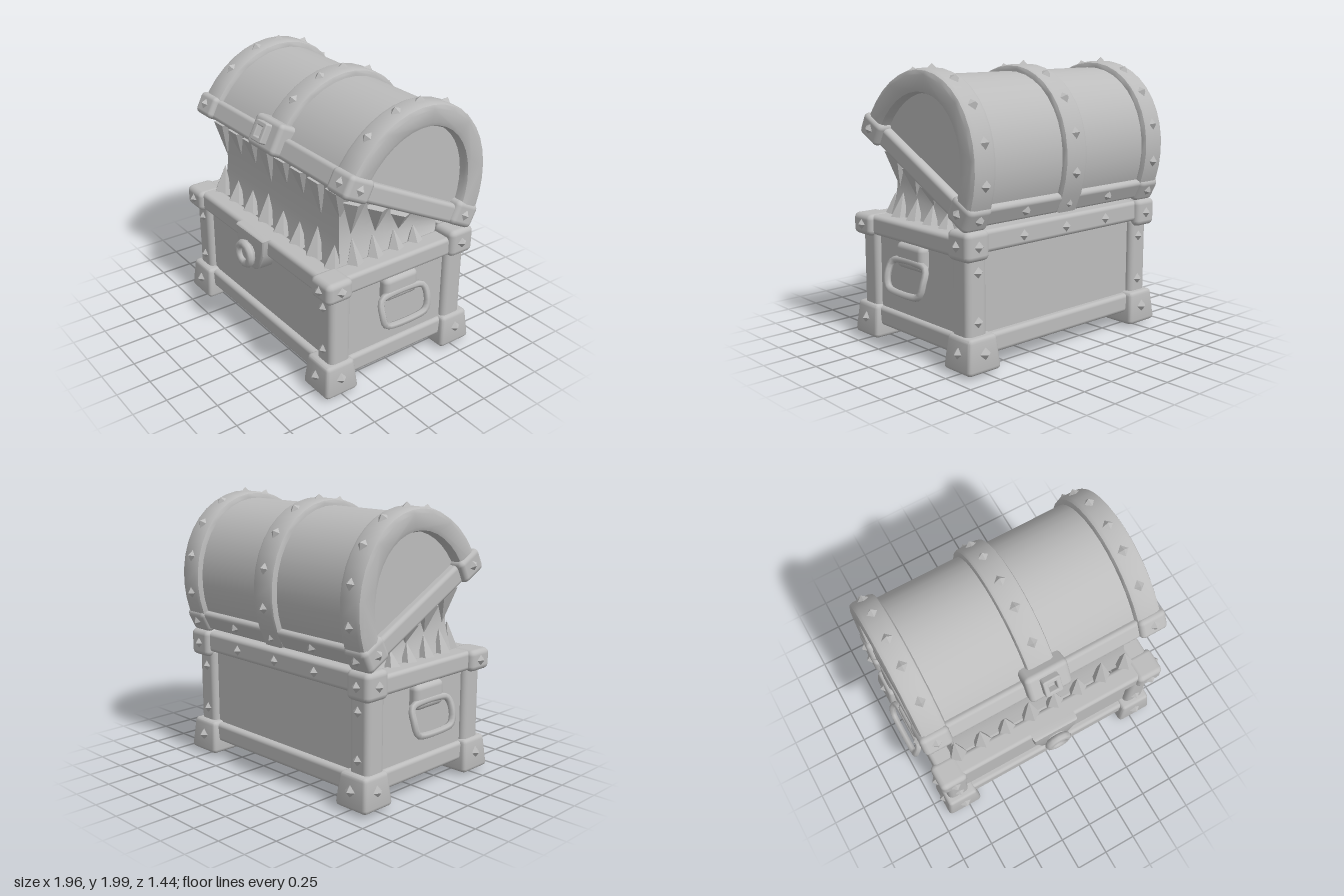
import * as THREE from 'three';
import { toCreasedNormals } from 'three/addons/utils/BufferGeometryUtils.js';
import { RoundedBoxGeometry } from 'three/addons/geometries/RoundedBoxGeometry.js';

const grey = new THREE.MeshStandardMaterial({ color: 0xbcbcbc, side: THREE.DoubleSide });
grey.name = 'stone grey';

function add(parent, name, geo, x = 0, y = 0, z = 0) {
  const m = new THREE.Mesh(geo, grey);
  m.name = name;
  m.position.set(x, y, z);
  parent.add(m);
  return m;
}

// Rounded block given by its min and max on each axis
function block(parent, name, x0, x1, y0, y1, z0, z1, r = 0.03) {
  return add(parent, name, new RoundedBoxGeometry(x1 - x0, y1 - y0, z1 - z0, 2, r),
    (x0 + x1) / 2, (y0 + y1) / 2, (z0 + z1) / 2);
}

// Four-sided spike pointing along dir; used for rivets and teeth
function spike(parent, name, pos, dir, r, h, sides = 4) {
  const geo = new THREE.ConeGeometry(r, h, sides).translate(0, h / 2, 0);
  const m = add(parent, name, toCreasedNormals(geo, 0.4), ...pos);
  m.quaternion.setFromUnitVectors(new THREE.Vector3(0, 1, 0), new THREE.Vector3(...dir).normalize());
  return m;
}
const rivet = (parent, pos, dir) => spike(parent, 'rivet', pos, dir, 0.045, 0.035);

// Lid cross-section: u runs from hinge to lip, v is up
const CU = 0.6, RU = 0.61, RV = 0.71;
const arcPoint = (a, inset) => new THREE.Vector2(CU + (RU - inset) * Math.cos(a), (RV - inset) * Math.sin(a));
function arch(width, outer, inner, bevel) {
  const pts = [], N = 20;
  for (let i = 0; i <= N; i++) pts.push(arcPoint(Math.PI * i / N, outer + bevel));
  if (inner) for (let i = N; i >= 0; i--) pts.push(arcPoint(Math.PI * i / N, inner - bevel));
  const geo = new THREE.ExtrudeGeometry(new THREE.Shape(pts), {
    depth: width - 2 * bevel, bevelEnabled: bevel > 0, bevelSize: bevel, bevelThickness: bevel, bevelSegments: 2,
  });
  geo.translate(0, 0, -(width - 2 * bevel) / 2).rotateY(-Math.PI / 2);
  return toCreasedNormals(geo, 0.7);
}

function buildBase() {
  const base = new THREE.Group();
  base.name = 'base';
  // Walls
  block(base, 'frontWall', -0.82, 0.82, 0.12, 0.88, 0.46, 0.54, 0.01);
  block(base, 'backWall', -0.82, 0.82, 0.12, 0.95, -0.54, -0.46, 0.01);
  for (const s of [-1, 1]) {
    const wall = block(base, 'sideWall', -0.04, 0.04, 0.12, 0.88, -0.5, 0.5, 0.01);
    wall.position.x = s * 0.8;
  }
  // Floor with an oval opening
  const floor = new THREE.Shape();
  floor.moveTo(-0.8, -0.5).lineTo(0.8, -0.5).lineTo(0.8, 0.5).lineTo(-0.8, 0.5);
  const hole = new THREE.Path();
  hole.absellipse(0, 0.06, 0.4, 0.28, 0, Math.PI * 2);
  floor.holes.push(hole);
  add(base, 'floor', new THREE.ExtrudeGeometry(floor, { depth: 0.03, bevelEnabled: false, curveSegments: 12 })
    .rotateX(-Math.PI / 2), 0, 0.13, 0);
  // Throat bulging through the floor
  const throat = [[0.47, 0.14], [0.43, 0.04], [0.38, 0], [0.35, 0.01], [0.31, 0.12], [0.24, 0.28], [0, 0.33]]
    .map(p => new THREE.Vector2(...p));
  add(base, 'throat', new THREE.LatheGeometry(throat, 20).scale(1, 1, 0.74), 0, 0, -0.06);
  for (let i = 0; i < 18; i++) {
    const a = i / 18 * Math.PI * 2;
    const lump = add(base, 'throatLump', new THREE.IcosahedronGeometry(0.065, 1), 0.54 * Math.cos(a), 0.1, -0.06 + 0.37 * Math.sin(a));
    lump.scale.set(1.2, 0.7, 0.8 + 0.3 * (i % 3));
  }
  // Bottom trim, top rim
  for (const s of [-1, 1]) {
    block(base, 'bottomTrim', -0.8, 0.8, 0.11, 0.25, s * 0.53 - 0.06, s * 0.53 + 0.06);
    const side = block(base, 'bottomTrim', -0.06, 0.06, 0.11, 0.25, -0.5, 0.5);
    side.position.x = s * 0.81;
    const rim = block(base, 'sideRim', -0.08, 0.08, 0.77, 0.91, -0.5, 0.58);
    rim.position.x = s * 0.81;
  }
  block(base, 'frontRim', -0.86, 0.86, 0.77, 0.91, 0.46, 0.61);
  block(base, 'backRim', -0.86, 0.86, 0.8, 0.95, -0.6, -0.46);
  // Corners: foot, post, rim cap and hinge cap
  for (const s of [-1, 1]) {
    for (const f of [1, -1]) {
      const geo = new RoundedBoxGeometry(0.28, 0.24, 0.27, 2, 0.03);
      const p = geo.attributes.position;
      for (let i = 0; i < p.count; i++) {
        const k = p.getY(i) > 0 ? 0.86 : 1;
        p.setXYZ(i, p.getX(i) * k, p.getY(i), p.getZ(i) * k);
      }
      geo.computeVertexNormals();
      add(base, 'foot', toCreasedNormals(geo, 0.7), s * 0.785, 0.14, f * 0.515);
      block(base, 'post', s * 0.795 - 0.085, s * 0.795 + 0.085, 0.2, 0.82, f * 0.5 - 0.085, f * 0.5 + 0.085, 0.04);
      rivet(base, [s * 0.91, 0.15, f * 0.52], [s, 0, 0]);
      rivet(base, [s * 0.78, 0.15, f * 0.64], [0, 0, f]);
      rivet(base, [s * 0.79, 0.35, f * 0.58], [0, 0, f]);
      rivet(base, [s * 0.79, 0.68, f * 0.58], [0, 0, f]);
    }
    block(base, 'rimCap', s * 0.82 - 0.105, s * 0.82 + 0.105, 0.76, 0.915, 0.43, 0.64, 0.04);
    block(base, 'hingeCap', s * 0.82 - 0.1, s * 0.82 + 0.1, 0.76, 0.96, -0.63, -0.42, 0.04);
    rivet(base, [s * 0.92, 0.84, 0.53], [s, 0, 0]);
    rivet(base, [s * 0.915, 0.86, -0.52], [s, 0, 0]);
    rivet(base, [s * 0.82, 0.84, 0.635], [0, 0, 1]);
    rivet(base, [s * 0.82, 0.86, -0.625], [0, 0, -1]);
  }
  for (const x of [-0.4, 0, 0.4]) rivet(base, [x, 0.87, -0.595], [0, 0, -1]);
  // Lock
  const plate = new THREE.Shape();
  plate.moveTo(-0.17, 0.13).lineTo(0.17, 0.13).lineTo(0.16, 0.02).lineTo(0.1, -0.1)
    .lineTo(0.05, -0.13).lineTo(-0.05, -0.13).lineTo(-0.1, -0.1).lineTo(-0.16, 0.02);
  add(base, 'lockPlate', toCreasedNormals(new THREE.ExtrudeGeometry(plate,
    { depth: 0.11, bevelSize: 0.01, bevelThickness: 0.02, bevelSegments: 2 }), 0.7), 0, 0.77, 0.52);
  add(base, 'lockRing', new THREE.TorusGeometry(0.075, 0.032, 8, 12), 0, 0.755, 0.69);
  add(base, 'lockBarrel', new THREE.CylinderGeometry(0.06, 0.08, 0.06, 10).rotateX(Math.PI / 2), 0, 0.755, 0.66);
  // Side handles
  const loop = [[0.16, 0.65, 0.9], [0.2, 0.55, 0.94], [0.15, 0.45, 0.955], [-0.15, 0.45, 0.955], [-0.2, 0.55, 0.94], [-0.16, 0.65, 0.9]];
  for (const s of [-1, 1]) {
    const path = new THREE.CatmullRomCurve3(loop.map(([z, y, x]) => new THREE.Vector3(s * x, y, z)), true, 'catmullrom', 0.4);
    add(base, 'handle', new THREE.TubeGeometry(path, 36, 0.025, 6, true));
    block(base, 'handleMount', s * 0.86 - 0.05, s * 0.86 + 0.05, 0.6, 0.78, -0.14, 0.15, 0.04);
  }
  return base;
}

function buildMouth() {
  const mouth = new THREE.Group();
  mouth.name = 'mouth';
  // Gum wall pinched between the jaws, its top following the open lid
  const geo = new THREE.BoxGeometry(2, 1, 2, 8, 8, 8);
  const p = geo.attributes.position;
  for (let i = 0; i < p.count; i++) {
    const t = p.getY(i) + 0.5, pinch = 1 - 0.09 * Math.sin(Math.PI * t);
    const z = p.getZ(i) > 0 ? p.getZ(i) * 0.43 * pinch : p.getZ(i) * 0.46;
    const top = 1.08 + 0.5 * (z + 0.5);
    p.setXYZ(i, p.getX(i) * 0.77 * pinch, 0.82 + t * (top - 0.82), z);
  }
  geo.computeVertexNormals();
  add(mouth, 'gums', toCreasedNormals(geo, 0.9));
  // Front rows
  for (let i = 0; i < 8; i++) {
    const x = -0.7 + i * 0.2, big = i % 3 === 0 ? 1.1 : 0.85;
    spike(mouth, 'upperTooth', [x, 1.45, 0.38], [0, -1, 0.03], 0.1, 0.25 * big, 5);
    spike(mouth, 'lowerTooth', [x, 0.88, 0.45], [0, 1, -0.15], 0.075, 0.21 * big, 5);
  }
  // Side rows
  for (const s of [-1, 1]) {
    for (const z of [0.32, 0.12, -0.08]) {
      spike(mouth, 'upperTooth', [s * 0.76, 1.42 + 0.5 * (z - 0.4), z], [-s * 0.1, -1, 0], 0.085, 0.14 + 0.3 * (z + 0.1), 5);
    }
    for (const z of [0.3, 0.13, -0.05, -0.22]) {
      spike(mouth, 'lowerTooth', [s * 0.76, 0.88, z], [-s * 0.2, 1, 0], 0.07, 0.14 + 0.12 * (z + 0.22), 5);
    }
  }
  return mouth;
}

function buildLid() {
  const lid = new THREE.Group();
  lid.name = 'lid';
  lid.position.set(0, 1, -0.6);
  lid.rotation.x = -27 * Math.PI / 180;
  // Barrel and arched bands
  add(lid, 'barrel', arch(1.66, 0.045, 0, 0));
  add(lid, 'centreBand', arch(0.2, 0, 0.16, 0.025));
  for (const s of [-1, 1]) add(lid, 'endBand', arch(0.19, 0, 0.16, 0.035), s * 0.815);
  for (const x of [-0.81, 0, 0.81]) {
    for (const deg of [28, 50, 68, 90, 112, 135, 158]) {
      const a = deg * Math.PI / 180, q = arcPoint(a, 0.005);
      rivet(lid, [x, q.y, q.x], [0, Math.sin(a) / RV, Math.cos(a) / RU]);
    }
  }
  // Rim frame around the opening
  block(lid, 'frontLip', -0.88, 0.88, -0.06, 0.09, 1.06, 1.2);
  block(lid, 'backLip', -0.86, 0.86, -0.04, 0.11, 0, 0.14);
  for (const s of [-1, 1]) {
    block(lid, 'sideLip', s * 0.81 - 0.08, s * 0.81 + 0.08, -0.06, 0.08, 0.05, 1.15);
    block(lid, 'lipCorner', s * 0.825 - 0.105, s * 0.825 + 0.105, -0.065, 0.1, 1.02, 1.235, 0.035);
    block(lid, 'hingeCorner', s * 0.82 - 0.1, s * 0.82 + 0.1, -0.06, 0.12, -0.02, 0.19, 0.04);
    rivet(lid, [s * 0.925, 0.02, 1.13], [s, 0, 0]);
    rivet(lid, [s * 0.915, 0.03, 0.09], [s, 0, 0]);
    rivet(lid, [s * 0.83, 0.02, 1.23], [0, 0, 1]);
    rivet(lid, [s * 0.82, 0.04, -0.015], [0, 0, -1]);
  }
  for (const x of [-0.4, 0, 0.4]) rivet(lid, [x, 0.04, 0.005], [0, 0, -1]);
  // Clasp with a square eye
  block(lid, 'clasp', -0.16, 0.16, -0.06, 0.17, 1.08, 1.27, 0.035);
  for (const s of [-1, 1]) {
    block(lid, 'claspFrame', s * 0.047 - 0.018, s * 0.047 + 0.018, -0.01, 0.13, 1.24, 1.32, 0.01);
    block(lid, 'claspFrame', -0.06, 0.06, 0.06 + s * 0.055 - 0.018, 0.06 + s * 0.055 + 0.018, 1.24, 1.32, 0.01);
  }
  return lid;
}

export function createModel() {
  const model = new THREE.Group();
  model.name = 'toothedChest';
  model.add(buildBase(), buildMouth(), buildLid());
  return model;
}
